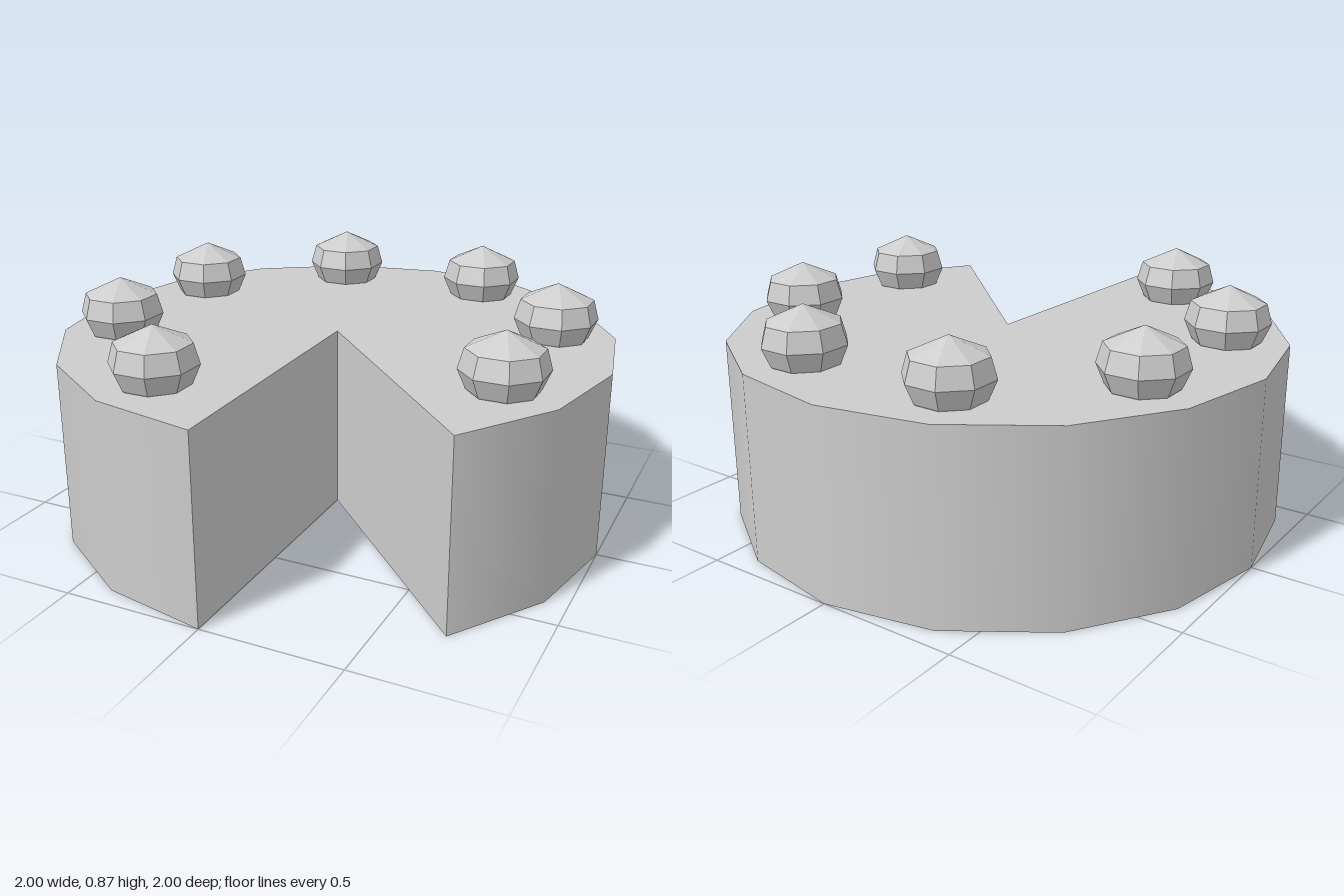
import * as THREE from 'three';

const RIM = 0.668, PEAK = 0.68; // top surface rises slightly to the middle

// Lift the upper vertices that lie on the central axis
function raiseCentre(geo) {
  const p = geo.attributes.position;
  for (let i = 0; i < p.count; i++) {
    if (Math.hypot(p.getX(i), p.getZ(i)) < 1e-5 && p.getY(i) > 0.1) p.setY(i, PEAK);
  }
  return geo;
}

export function createModel() {
  const model = new THREE.Group();
  const grey = new THREE.MeshStandardMaterial({ color: 0xcccccc });
  grey.name = 'plain grey';

  const add = (name, geo) => {
    const mesh = new THREE.Mesh(geo, grey);
    mesh.name = name;
    model.add(mesh);
    return mesh;
  };

  // Cake body: sixteen-sided round with one eighth removed
  const body = new THREE.CylinderGeometry(1, 1, RIM, 14, 1, false, Math.PI / 4, Math.PI * 1.75);
  body.translate(0, RIM / 2, 0);
  add('cakeBody', raiseCentre(body));

  // Two walls of the missing slice
  const wall = (name, side, angle) => {
    const geo = new THREE.PlaneGeometry(1, RIM);
    geo.translate(side / 2, RIM / 2, 0);
    add(name, raiseCentre(geo).rotateY(angle));
  };
  wall('cutWallRight', -1, Math.PI / 2);
  wall('cutWallLeft', 1, -Math.PI / 4);

  // Faceted eight-sided balls, one on each remaining slice
  const profile = [[0.1, -0.09], [0.122, -0.065], [0.15, 0], [0.13, 0.07], [0, 0.13]]
    .map(([r, y]) => new THREE.Vector2(r, y));
  const ball = new THREE.LatheGeometry(profile, 8, Math.PI / 8).toNonIndexed();
  ball.computeVertexNormals();
  for (let i = 1; i < 8; i++) {
    const a = Math.PI / 8 + i * Math.PI / 4;
    add('topping' + i, ball).position.set(0.783 * Math.sin(a), 0.74, 0.783 * Math.cos(a));
  }
  return model;
}
